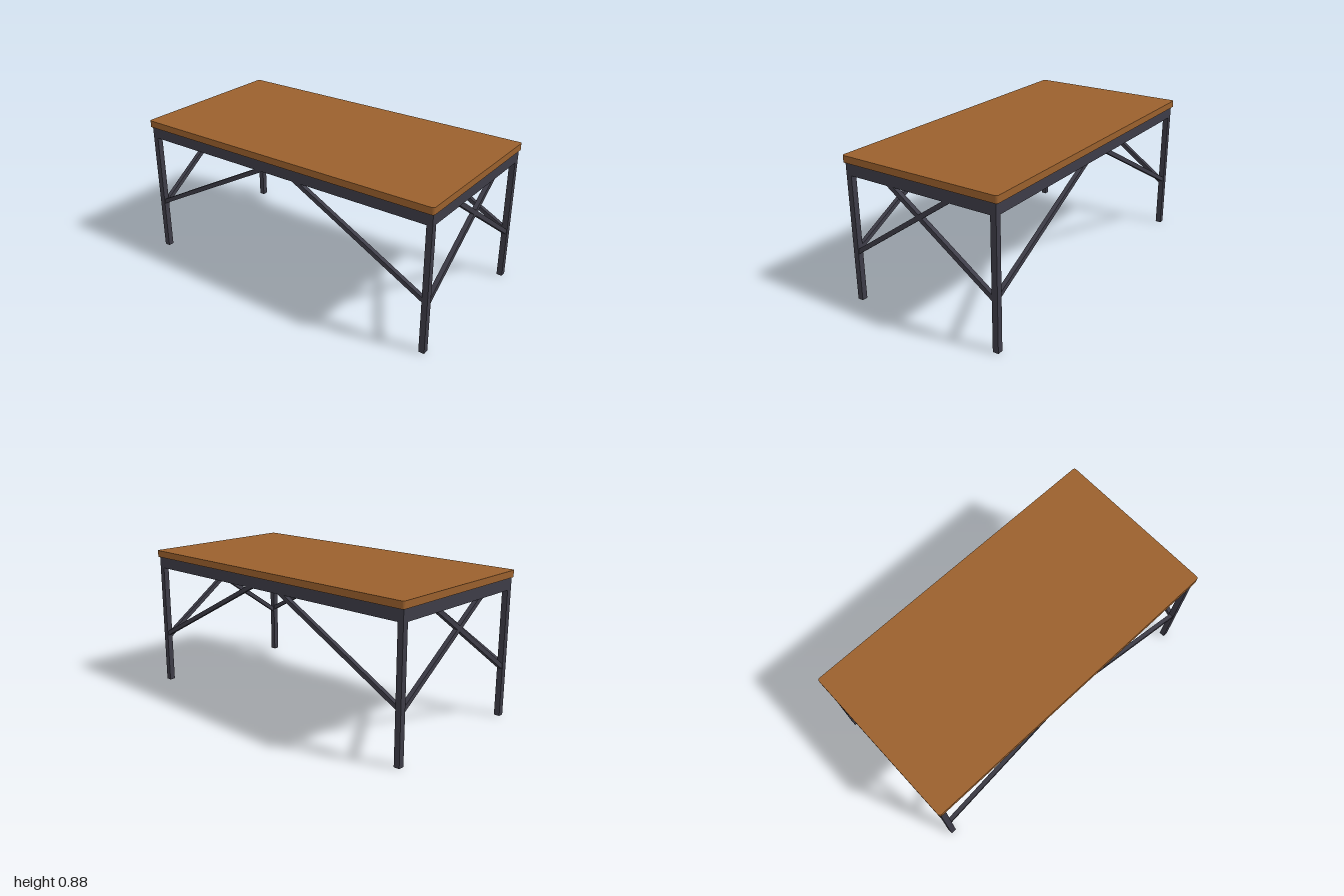
import * as THREE from 'three';

const wood = new THREE.MeshStandardMaterial({ color: 0x9a602d });
wood.name = 'warm wood';
const steel = new THREE.MeshStandardMaterial({ color: 0x3d3c47 });
steel.name = 'dark steel';

const TOP_Y = 0.877, FRAME_Y = 0.836, APRON_Y = 0.765;
const LEG = 0.035, LEG_X = 0.48, LEG_Z = 0.973;

function addBox(group, name, size, position) {
  const mesh = new THREE.Mesh(new THREE.BoxGeometry(...size), steel);
  mesh.name = name;
  mesh.position.set(...position);
  group.add(mesh);
  return mesh;
}

// Square bar between two points
function addBar(group, name, from, to, thickness) {
  const a = new THREE.Vector3(...from), b = new THREE.Vector3(...to);
  const middle = a.clone().add(b).multiplyScalar(0.5);
  const bar = addBox(group, name, [thickness, thickness, a.distanceTo(b)], middle.toArray());
  bar.lookAt(b);
}

// Tabletop slab with small rounded corners
function createTabletop() {
  const w = 0.512, d = 1, r = 0.015;
  const shape = new THREE.Shape();
  shape.moveTo(w - r, -d);
  shape.absarc(w - r, -d + r, r, -Math.PI / 2, 0);
  shape.absarc(w - r, d - r, r, 0, Math.PI / 2);
  shape.absarc(-w + r, d - r, r, Math.PI / 2, Math.PI);
  shape.absarc(-w + r, -d + r, r, Math.PI, Math.PI * 1.5);
  const geometry = new THREE.ExtrudeGeometry(shape, {
    depth: TOP_Y - FRAME_Y, bevelEnabled: false, curveSegments: 4,
  });
  geometry.rotateX(-Math.PI / 2);
  const mesh = new THREE.Mesh(geometry, wood);
  mesh.name = 'tabletop';
  mesh.position.y = FRAME_Y;
  return mesh;
}

export function createModel() {
  const table = new THREE.Group();
  table.name = 'table';
  table.add(createTabletop());

  const apronH = FRAME_Y - APRON_Y, apronY = (FRAME_Y + APRON_Y) / 2;
  for (const s of [1, -1]) {
    // Aprons between the legs
    addBox(table, 'sideApron', [LEG, apronH, 2 * LEG_Z - LEG], [s * LEG_X, apronY, 0]);
    addBox(table, 'endApron', [2 * LEG_X - LEG, apronH, LEG], [0, apronY, s * LEG_Z]);

    for (const t of [1, -1]) {
      addBox(table, 'leg', [LEG, FRAME_Y, LEG], [s * LEG_X, FRAME_Y / 2, t * LEG_Z]);
      // Crossing braces at the ends
      addBar(table, 'endBrace', [s * LEG_X, 0.298, t * LEG_Z], [-s * 0.239, 0.8, t * LEG_Z], 0.027);
      // Diagonal braces along the long sides
      addBar(table, 'sideBrace', [s * LEG_X, 0.315, t * LEG_Z], [s * LEG_X, 0.8, t * 0.065], 0.026);
    }
  }
  return table;
}
